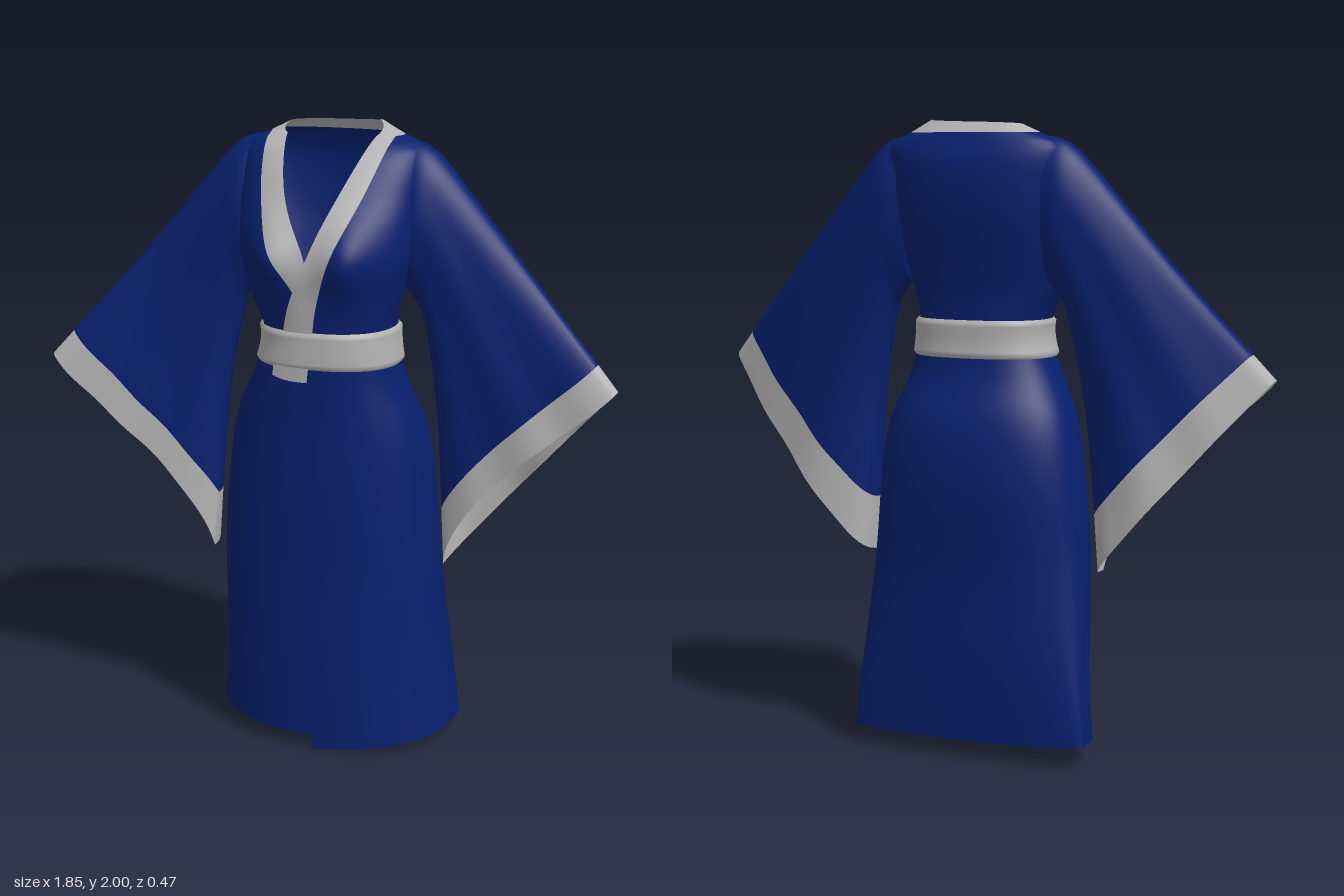
import * as THREE from 'three';
import { mergeVertices } from 'three/addons/utils/BufferGeometryUtils.js';

const blue = new THREE.MeshStandardMaterial({ color: 0x07206e, side: THREE.DoubleSide });
blue.name = 'blue cloth';
const grey = new THREE.MeshStandardMaterial({ color: 0xb4b3b3, side: THREE.DoubleSide });
grey.name = 'grey trim';

const TAU = Math.PI * 2;
const { lerp, clamp, smoothstep } = THREE.MathUtils;

// Smooth lookup in a table of rows [key, value, value, ...]
function lookup(rows, key, col) {
  const n = rows.length - 1;
  let i = 0;
  while (i < n - 1 && key > rows[i + 1][0]) i++;
  const slope = (k) => {
    const a = rows[Math.max(k - 1, 0)], b = rows[Math.min(k + 1, n)];
    return (b[col] - a[col]) / (b[0] - a[0]);
  };
  const h = rows[i + 1][0] - rows[i][0];
  const t = clamp((key - rows[i][0]) / h, 0, 1), t2 = t * t, t3 = t2 * t;
  return (2 * t3 - 3 * t2 + 1) * rows[i][col] + (t3 - 2 * t2 + t) * h * slope(i)
    + (3 * t2 - 2 * t3) * rows[i + 1][col] + (t3 - t2) * h * slope(i + 1);
}

// Smooth sheet from a point function of u, v in 0..1; cells inside the hole test are left open
function sheet(name, material, nu, nv, point, hole = () => false) {
  const pts = [], idx = [];
  for (let j = 0; j <= nv; j++)
    for (let i = 0; i <= nu; i++) pts.push(point(i / nu, j / nv));
  for (let j = 0; j < nv; j++)
    for (let i = 0; i < nu; i++) {
      const a = j * (nu + 1) + i, b = a + 1, c = a + nu + 1, d = c + 1;
      if (![a, b, c, d].every((k) => hole(pts[k]))) idx.push(a, b, d, a, d, c);
    }
  let g = new THREE.BufferGeometry();
  g.setAttribute('position', new THREE.Float32BufferAttribute(pts.flat(), 3));
  g.setIndex(idx);
  g = mergeVertices(g, 1e-5);
  g.computeVertexNormals();
  const mesh = new THREE.Mesh(g, material);
  mesh.name = name;
  return mesh;
}

// Body sections: height, half width, front z, back z
const BODY = [
  [0, 0.4, 0.17, -0.18], [0.3, 0.372, 0.175, -0.2], [0.6, 0.355, 0.175, -0.208],
  [0.85, 0.335, 0.18, -0.23], [1.0, 0.315, 0.18, -0.225], [1.1, 0.29, 0.18, -0.205],
  [1.2, 0.245, 0.183, -0.165], [1.3, 0.213, 0.185, -0.15], [1.38, 0.208, 0.185, -0.155],
  [1.47, 0.235, 0.195, -0.16], [1.6, 0.272, 0.207, -0.185], [1.7, 0.283, 0.18, -0.205],
  [1.8, 0.288, 0.12, -0.212], [1.88, 0.29, 0.065, -0.207], [1.93, 0.275, 0.02, -0.19],
  [1.96, 0.21, -0.02, -0.175], [2.0, 0.13, -0.11, -0.145],
];
const ROUND = 0.85;

// Point on the body: angle runs from the front centre towards +x
function bodyPoint(angle, y, off = 0) {
  const w = lookup(BODY, y, 1) + off;
  const zf = lookup(BODY, y, 2) + off, zb = lookup(BODY, y, 3) - off;
  const s = Math.sin(angle), c = Math.cos(angle);
  // the side folds swing to the back towards the hem
  const mid = lerp(zb, zf, lerp(0.12, 0.45, smoothstep(y, 0, 0.85)));
  // the waist and the hem lean slightly to one side
  const lean = 0.014 * Math.exp(-(((y - 1.33) / 0.1) ** 2)) + 0.01 * (1 - smoothstep(y, 0, 0.7)) * Math.abs(s);
  const x = w * Math.sign(s) * Math.abs(s) ** ROUND + lean;
  let z = mid + (c > 0 ? zf - mid : zb - mid) * Math.abs(c) ** ROUND;
  if (c > 0) z += 0.044 * Math.exp(-(((Math.abs(x) - 0.13) / 0.08) ** 2) - ((y - 1.61) / 0.11) ** 2) * c;
  return [x, y, z];
}
const angleAt = (x, y) =>
  Math.sign(x) * Math.asin(Math.min(1, Math.abs(x) / lookup(BODY, y, 1)) ** (1 / ROUND));

// Collar edges on the front: height, x
const edge = (rows) => (y) => angleAt(lookup(rows, y, 1), y);
const leftInner = edge([[1.3, -0.105], [1.39, -0.092], [1.62, 0.0], [1.8, 0.072], [1.96, 0.14]]);
const leftOuter = edge([[1.3, -0.01], [1.39, 0.003], [1.55, 0.05], [1.8, 0.145], [1.96, 0.195]]);
const rightInner = edge([[1.3, 0.0], [1.5, 0.0], [1.62, -0.01], [1.8, -0.1], [1.96, -0.14]]);
const rightOuter = edge([[1.3, -0.03], [1.42, -0.03], [1.51, -0.045], [1.65, -0.125], [1.8, -0.183], [1.96, -0.207]]);

// Panel of the upper body between two edges, its offset fading to the neck
const NECK = 1.96;
const panel = (name, mat, from, to, nu, off, hole) => sheet(name, mat, nu, 44, (u, v) => {
  const y = lerp(1.3, NECK, v);
  return bodyPoint(lerp(from(y), to(y), u), y, lerp(off, 0.003, v ** 4));
}, hole);
const armhole = ([x, y, z]) =>
  Math.abs(x) > 0.24 && ((y - 1.71) / 0.19) ** 2 + ((z + 0.075) / 0.08) ** 2 < 1;

// Sleeve sections: position, top x y z, bottom x y z, front depth, back depth
const SLEEVE = [
  [0, 0.245, 1.95, -0.088, 0.235, 1.5, -0.06, 0.1, 0.092],
  [0.08, 0.3, 1.932, -0.085, 0.262, 1.47, -0.06, 0.108, 0.1],
  [0.2, 0.365, 1.875, -0.078, 0.297, 1.41, -0.06, 0.1, 0.097],
  [0.55, 0.62, 1.575, -0.05, 0.35, 1.1, -0.035, 0.075, 0.1],
  [1, 0.924, 1.238, 0.03, 0.385, 0.62, 0.0, 0.047, 0.135],
];
function sleevePoint(angle, s, side) {
  const at = (c) => lookup(SLEEVE, s, c);
  const f = (1 - Math.cos(angle)) / 2, d = Math.sin(angle);
  const bulge = Math.sign(d) * Math.abs(d) ** lerp(1, 0.72, s);
  const fold = 0.007 * s * Math.sin(f * 17) * Math.abs(d);
  // the right sleeve hangs a little lower and further forward
  const drop = side < 0 ? 0.018 * s * s : 0;
  const x = lerp(at(1), at(4), f);
  // the front layer is cut shorter near the lower corner
  const y = lerp(at(2), at(5), f) + (d > 0 ? 0.15 * d * f * s ** 5 : 0) - drop;
  // the back layer sags towards the lower corner
  const back = at(8) * (1 + s * s * (f - 0.5));
  const z = lerp(at(3), at(6), f) + bulge * (d > 0 ? at(7) : back) + fold + drop;
  return [side * x, y, z];
}
const trimStart = (angle) => lerp(0.9, 0.84, (1 - Math.cos(angle)) / 2);

// Hem height around the skirt, from the outer front edge round to the under layer
const HEM = [[0, 0], [0.25, 0.055], [0.5, 0.06], [0.75, 0.07], [1, 0.043]];

export function createModel() {
  const robe = new THREE.Group();
  robe.name = 'robe';

  // Wrapped skirt with an overlapping front edge
  robe.add(sheet('skirt', blue, 96, 48, (u, v) => {
    const y = lerp(lookup(HEM, u, 1), 1.31, v);
    const start = angleAt(lerp(0.004, -0.07, v), y);
    return bodyPoint(lerp(start, TAU + 0.12, u), y, 0.007 * (1 - u));
  }));

  // Upper body with open armholes, and crossed collar
  robe.add(panel('bodice', blue, (y) => leftOuter(y) - 0.03, (y) => TAU + rightOuter(y) + 0.03, 110, 0, armhole));
  robe.add(panel('rightCollar', grey, rightOuter, rightInner, 8, 0.003));
  robe.add(panel('leftCollar', grey, leftInner, leftOuter, 8, 0.006));
  robe.add(sheet('backCollar', grey, 60, 6, (u, v) => {
    const y = lerp(NECK, 2 - 0.015 * u, v);
    const a = lerp(leftInner(NECK), 1.35, v), b = lerp(rightInner(NECK), -1.35, v);
    return bodyPoint(lerp(a, TAU + b, u), y, 0.003);
  }));

  // Belt with turned-in edges and its hanging tab
  robe.add(sheet('belt', grey, 80, 12, (u, v) =>
    bodyPoint(u * TAU, lerp(1.268, 1.387, v), v === 0 || v === 1 ? 0.004 : 0.013)));
  robe.add(sheet('beltTab', grey, 8, 4, (u, v) => {
    const y = lerp(1.23 + 0.012 * (1 - u) ** 3, 1.29, v);
    return bodyPoint(angleAt(lerp(-0.125, -0.01, u), y), y, 0.011);
  }));

  // Wide open sleeves with trimmed hems
  for (const [label, side] of [['left', 1], ['right', -1]]) {
    robe.add(sheet(label + 'Sleeve', blue, 56, 40, (u, v) =>
      sleevePoint(u * TAU, v * trimStart(u * TAU), side)));
    robe.add(sheet(label + 'SleeveTrim', grey, 56, 6, (u, v) =>
      sleevePoint(u * TAU, lerp(trimStart(u * TAU), 1, v), side)));
  }
  return robe;
}
